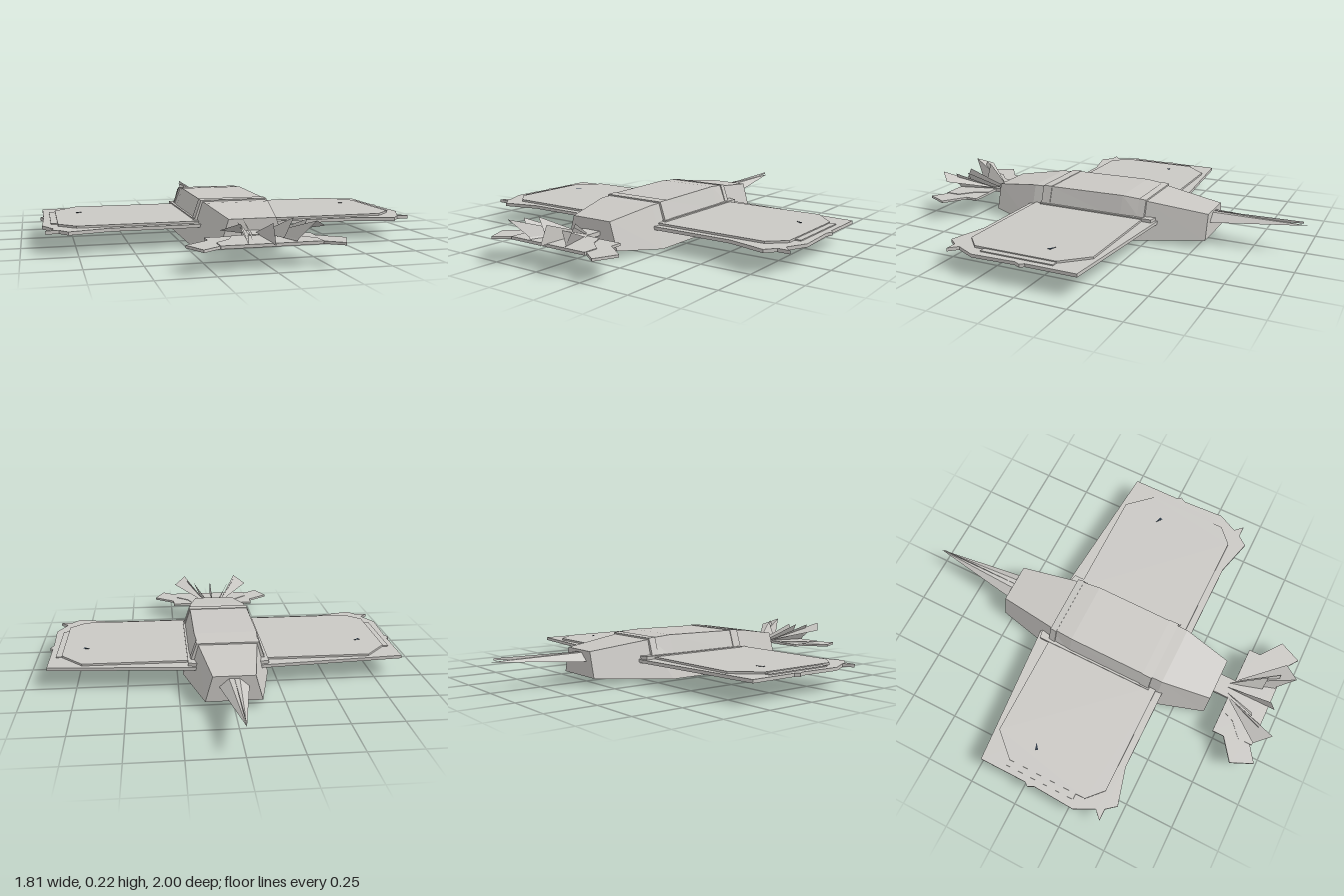
import * as THREE from 'three';

const grey = new THREE.MeshStandardMaterial({ color: 0xcac8c4, side: THREE.DoubleSide });
grey.name = 'paleGrey';
const navy = new THREE.MeshStandardMaterial({ color: 0x263442, side: THREE.DoubleSide });
navy.name = 'darkNavy';

function mesh(name, geometry, material = grey) {
  const m = new THREE.Mesh(geometry, material);
  m.name = name;
  return m;
}

// Horizontal plate from an outline in x and z, with its top face at height top
function plate(name, outline, top, thickness, side = 1, material = grey) {
  const shape = new THREE.Shape(outline.map(([x, z]) => new THREE.Vector2(x * side, z)));
  const g = new THREE.ExtrudeGeometry(shape, { depth: thickness, bevelEnabled: false });
  g.rotateX(Math.PI / 2).translate(0, top, 0);
  return mesh(name, g, material);
}

// Flat-shaded polygon faces, each given as a loop of corners
function faces(name, loops) {
  const pos = [];
  for (const loop of loops)
    for (let i = 1; i < loop.length - 1; i++) pos.push(...loop[0], ...loop[i], ...loop[i + 1]);
  const g = new THREE.BufferGeometry();
  g.setAttribute('position', new THREE.Float32BufferAttribute(pos, 3));
  g.computeVertexNormals();
  return mesh(name, g);
}

// Closed trapezoid body; each section is [z, topHalfWidth, topY, bottomHalfWidth, bottomY], back to front
function loft(name, sections) {
  const rings = sections.map(([z, tw, ty, bw, by]) => [[-bw, by, z], [bw, by, z], [tw, ty, z], [-tw, ty, z]]);
  const loops = [[...rings[0]].reverse(), rings[rings.length - 1]];
  for (let i = 0; i < rings.length - 1; i++)
    for (let j = 0; j < 4; j++) {
      const k = (j + 1) % 4;
      loops.push([rings[i][j], rings[i][k], rings[i + 1][k], rings[i + 1][j]]);
    }
  return faces(name, loops);
}

const WING = [[0.15, -0.3], [0.89, -0.24], [0.89, 0.01], [0.905, 0.03], [0.89, 0.06], [0.9, 0.28],
  [0.85, 0.38], [0.89, 0.42], [0.83, 0.42], [0.79, 0.47], [0.6, 0.42], [0.15, 0.42]];
const WING_PANEL = [[0.15, -0.23], [0.72, -0.23], [0.83, -0.11], [0.83, 0.31], [0.75, 0.385], [0.15, 0.385]];
const TIP_PANEL = [[0.83, -0.11], [0.86, -0.11], [0.86, 0.26], [0.83, 0.26]];
const STRIPE = [[0.69, -0.11], [0.73, 0], [0.41, 0.17], [0.19, 0.23], [0.19, 0.1], [0.4, 0.025]];
const SPECK = [[0.695, -0.03], [0.73, -0.02], [0.725, -0.005]];
const SIDE_FEATHER = [[0.1, 0.73], [0.24, 0.73], [0.24, 0.79], [0.35, 0.87], [0.3, 0.98], [0.2, 0.91], [0.1, 0.86]];

export function createModel() {
  const model = new THREE.Group();
  model.name = 'birdGlider';

  // Body: angular hull tapering towards both ends
  model.add(loft('body', [
    [-0.54, 0.1, 0.16, 0.135, 0.035],
    [-0.23, 0.147, 0.199, 0.2, 0.009],
    [-0.13, 0.155, 0.208, 0.22, 0],
    [0.4, 0.155, 0.203, 0.22, 0],
    [0.65, 0.11, 0.165, 0.15, 0.035],
  ]));

  // Raised back cover and the bands at its ends
  model.add(loft('backCover', [
    [-0.23, 0.15, 0.205, 0.19, 0.1],
    [-0.11, 0.16, 0.215, 0.197, 0.1],
    [0.3, 0.16, 0.209, 0.197, 0.1],
  ]));
  model.add(loft('frontBand', [
    [-0.235, 0.155, 0.206, 0.192, 0.1],
    [-0.2, 0.158, 0.21, 0.196, 0.1],
  ]));
  model.add(loft('rearBand', [
    [0.295, 0.163, 0.212, 0.201, 0.1],
    [0.345, 0.163, 0.21, 0.201, 0.1],
  ]));

  // Long pointed spike: tapered core and an upright blade
  const tip = [0, 0.14, -1];
  const base = [[-0.07, 0.108, -0.54], [0.07, 0.108, -0.54], [0.025, 0.148, -0.54], [-0.025, 0.148, -0.54]];
  model.add(faces('spike', base.map((p, i) => [base[(i + 1) % 4], p, tip])));
  model.add(faces('spikeBlade', [
    [[0, 0.12, -0.54], [0, 0.15, -0.54], [0, 0.157, -0.98], [0, 0.148, -0.98]],
  ]));

  for (const side of [1, -1]) {
    const label = side > 0 ? 'left' : 'right';

    // Wing with raised panels and the dark stripe underneath
    const wing = new THREE.Group();
    wing.name = label + 'Wing';
    wing.add(
      plate('wingPlate', WING, 0.108, 0.016, side),
      plate('wingPanel', WING_PANEL, 0.118, 0.012, side),
      plate('wingTipPanel', TIP_PANEL, 0.113, 0.008, side),
      plate('wingRootRib', [[0.15, -0.29], [0.2, -0.28], [0.2, 0.35], [0.15, 0.35]], 0.124, 0.03, side),
      plate('underStripe', STRIPE, 0.093, 0.006, side, navy),
      plate('wingSpeck', SPECK, 0.1195, 0.003, side, navy),
    );
    model.add(wing);

    // Outer tail feather and raised fan blades
    model.add(plate(label + 'TailFeather', SIDE_FEATHER, 0.105, 0.012, side));
    const m = ([x, y, z]) => [x * side, y, z];
    model.add(faces(label + 'TailBlades', [
      [[0.04, 0.108, 0.72], [0.105, 0.11, 0.93], [0.15, 0.2, 0.92]],
      [[0.04, 0.11, 0.72], [0.11, 0.12, 0.93], [0.16, 0.205, 1], [0.225, 0.17, 0.93]],
      [[0.02, 0.108, 0.7], [0.07, 0.115, 0.87], [0.11, 0.2, 0.87]],
    ].map((loop) => loop.map(m))));
  }

  // Tail base plates and the upright centre fin
  model.add(plate('tailStem', [[-0.05, 0.63], [0.05, 0.63], [0.05, 0.75], [-0.05, 0.75]], 0.112, 0.02));
  model.add(plate('tailPlate', [[-0.12, 0.73], [0.12, 0.73], [0.15, 0.8], [0.22, 0.86], [0.22, 0.935],
    [-0.22, 0.935], [-0.22, 0.86], [-0.15, 0.8]], 0.108, 0.014));
  model.add(faces('tailFin', [[[0, 0.105, 0.68], [0, 0.105, 0.97], [0, 0.19, 0.93]]]));

  return model;
}
